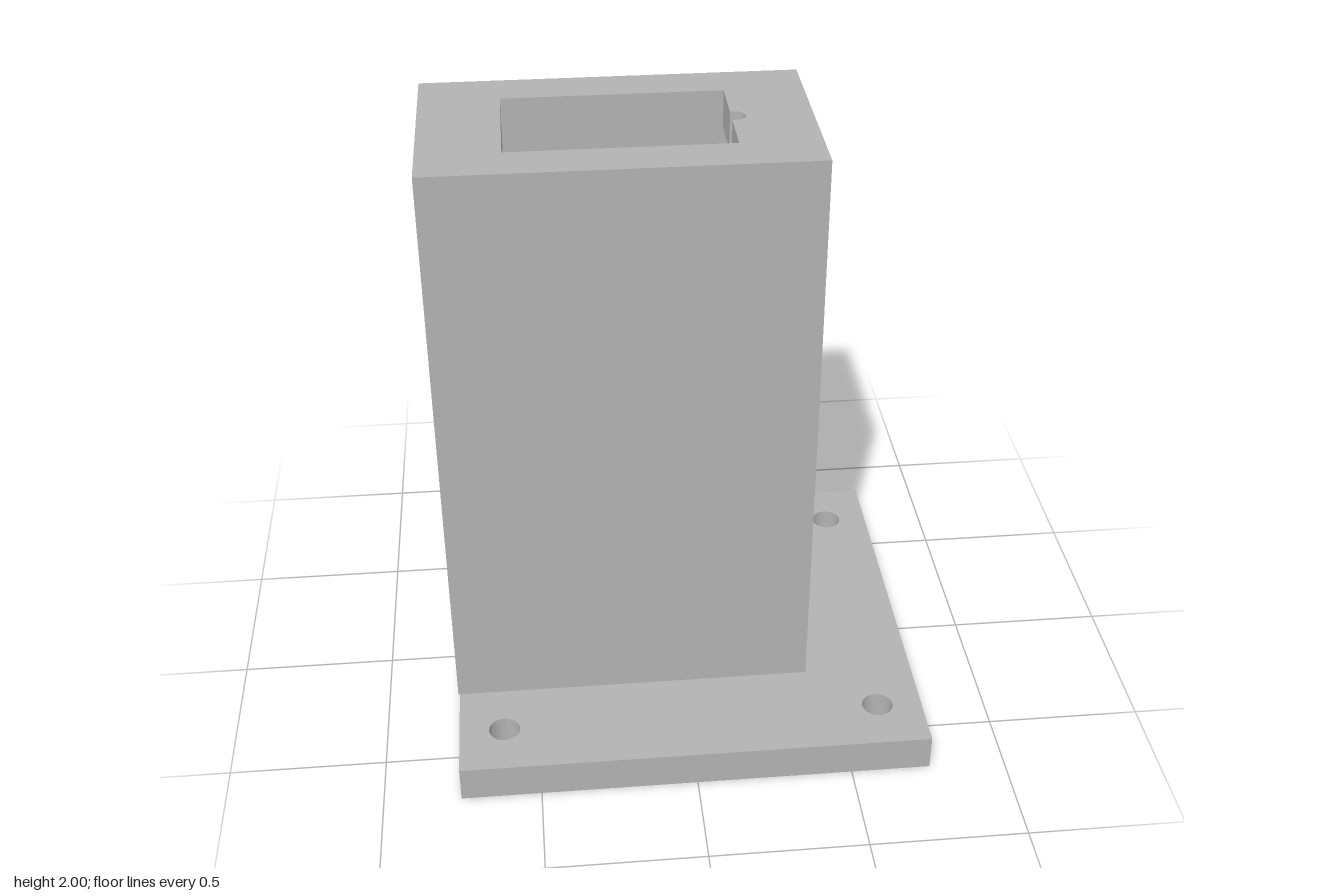
import * as THREE from 'three';
import { toCreasedNormals } from 'three/addons/utils/BufferGeometryUtils.js';

const PLATE_TOP = 0.12, LIP_BOTTOM = 1.88, HEIGHT = 2;
// Outer and inner limits of the hollow column
const X0 = -0.76, X1 = 0.4, Z = 0.33, WALL = 0.09;
const IN_X0 = X0 + WALL, IN_X1 = X1 - WALL, IN_Z = Z - WALL;

const points = (list) => list.map(([x, y]) => new THREE.Vector2(x, y));
const rect = (x0, y0, x1, y1) => points([[x0, y0], [x1, y0], [x1, y1], [x0, y1]]);

function extrude(shape, depth) {
  const geometry = new THREE.ExtrudeGeometry(shape, { depth, bevelEnabled: false, curveSegments: 32 });
  return toCreasedNormals(geometry, Math.PI / 5);
}

// Extrude a plan outline upwards from y0 to y1
const slab = (shape, y0, y1) => extrude(shape, y1 - y0).rotateX(-Math.PI / 2).translate(0, y0, 0);

export function createModel() {
  const group = new THREE.Group();
  const grey = new THREE.MeshStandardMaterial({ color: 0xb2b2b2 });
  grey.name = 'grey';

  const add = (name, geometry) => {
    const mesh = new THREE.Mesh(geometry, grey);
    mesh.name = name;
    group.add(mesh);
  };

  // Base plate with the lower opening and four bolt holes
  const plate = new THREE.Shape(rect(-0.755, -0.685, 0.755, 0.685));
  plate.holes.push(new THREE.Path(rect(IN_X0, -IN_Z, IN_X1, IN_Z)));
  for (const x of [-0.61, 0.61]) {
    for (const z of [-0.51, 0.51]) {
      plate.holes.push(new THREE.Path().absarc(x, z, 0.05, 0, Math.PI * 2, true));
    }
  }
  add('basePlate', slab(plate, 0, PLATE_TOP));

  // Three column walls in one U-shaped outline
  const walls = new THREE.Shape(points([
    [X0, -Z], [X1, -Z], [X1, Z], [X0, Z],
    [X0, IN_Z], [IN_X1, IN_Z], [IN_X1, -IN_Z], [X0, -IN_Z],
  ]));
  add('columnWalls', slab(walls, PLATE_TOP, LIP_BOTTOM));

  // Fourth wall, with a small window just above the plate
  const side = new THREE.Shape(points([
    [-IN_Z, PLATE_TOP], [-0.12, PLATE_TOP], [-0.12, 0.26], [0.12, 0.26],
    [0.12, PLATE_TOP], [IN_Z, PLATE_TOP], [IN_Z, LIP_BOTTOM], [-IN_Z, LIP_BOTTOM],
  ]));
  add('windowWall', extrude(side, WALL).rotateY(-Math.PI / 2).translate(IN_X0, 0, 0));

  // Top lip with a narrower opening and a rounded notch
  const lip = new THREE.Shape(rect(X0, -Z, X1, Z));
  const opening = new THREE.Path();
  opening.moveTo(-0.515, -0.19);
  opening.lineTo(0.157, -0.19);
  opening.lineTo(0.157, -0.03);
  opening.absarc(0.17, 0, 0.03, -Math.PI / 2, Math.PI / 2, false);
  opening.lineTo(0.157, 0.03);
  opening.lineTo(0.157, 0.19);
  opening.lineTo(-0.515, 0.19);
  opening.closePath();
  lip.holes.push(opening);
  add('topLip', slab(lip, LIP_BOTTOM, HEIGHT));

  return group;
}
